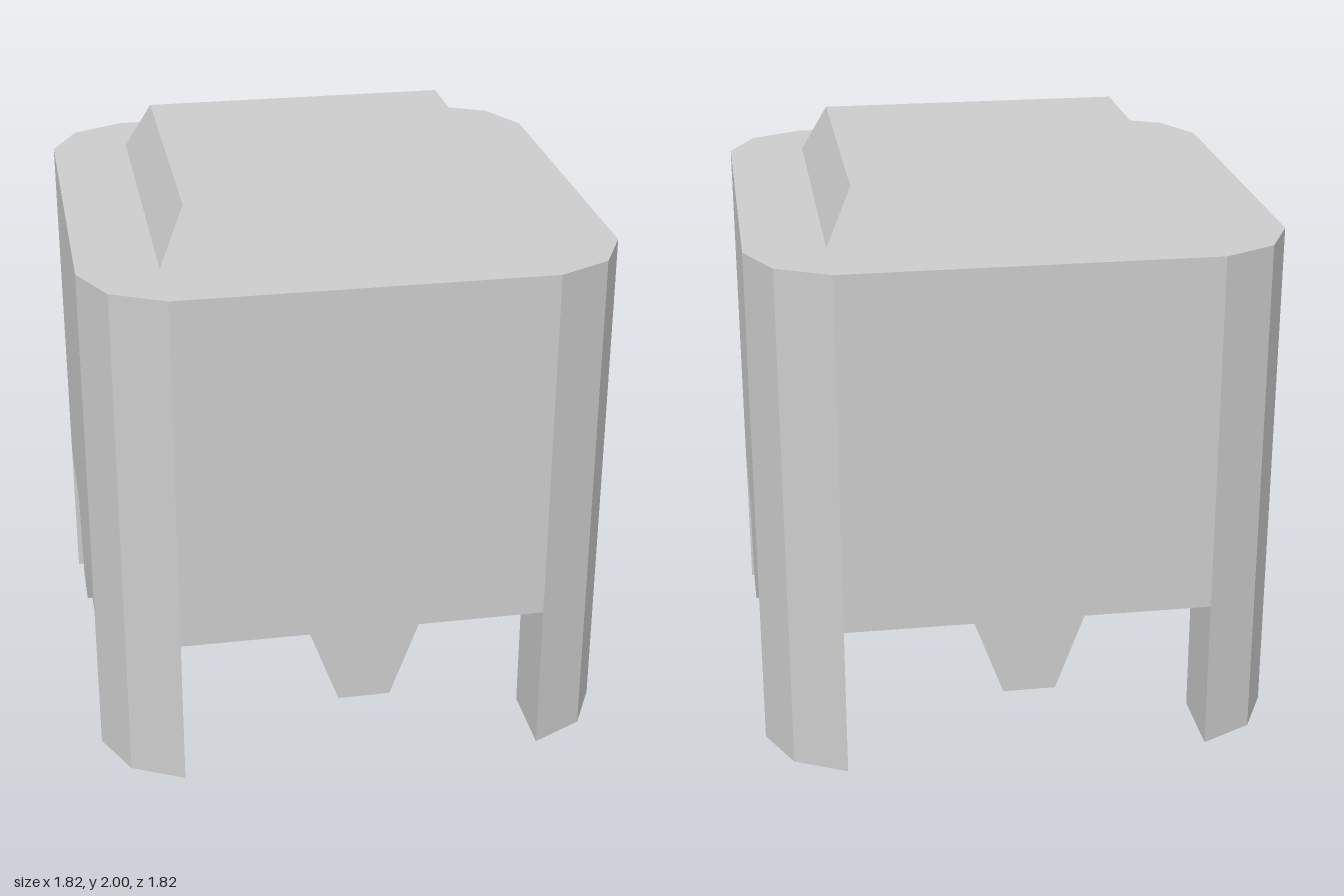
import * as THREE from 'three';

const U = 2 / 11;                       // base module
const OUT = 5 * U, MID = 4.5 * U, IN = 3.5 * U;
const SKIRT = 3 * U, SHOULDER = 10 * U, TOOTH_LOW = 1.5 * U;

const polygon = pts => new THREE.Shape(pts.map(([x, y]) => new THREE.Vector2(x, y)));

// Straight extrusion of a plan outline, from height y0 to y1
function prism(shape, y0, y1) {
  const geo = new THREE.ExtrudeGeometry(shape, { depth: y1 - y0, bevelEnabled: false });
  return geo.rotateX(-Math.PI / 2).translate(0, y0, 0);
}

export function createModel() {
  const group = new THREE.Group();
  const material = new THREE.MeshStandardMaterial({ color: 0xcccccc, flatShading: true });
  const add = (name, geo) => {
    const mesh = new THREE.Mesh(geo, material);
    mesh.name = name;
    group.add(mesh);
    return mesh;
  };

  // Hollow body: square with twice-chamfered corners and a square cavity
  const corner = [[OUT, IN], [MID, MID], [IN, OUT]];
  const outline = [];
  for (let i = 0; i < 4; i++) {
    const c = Math.round(Math.cos(i * Math.PI / 2)), s = Math.round(Math.sin(i * Math.PI / 2));
    for (const [x, y] of corner) outline.push([x * c - y * s, x * s + y * c]);
  }
  const ring = polygon(outline);
  ring.holes.push(polygon([[-IN, -IN], [-IN, IN], [IN, IN], [IN, -IN]]));
  add('body', prism(ring, SKIRT, SHOULDER));

  // Bevelled lid, closing the cavity from above
  const lid = new THREE.CylinderGeometry(3 * U * Math.SQRT2, IN * Math.SQRT2, U, 4);
  add('lid', lid.rotateY(Math.PI / 4).translate(0, SHOULDER + U / 2, 0));

  // Corner legs and the tapered tooth hanging from the middle of each side
  const legGeo = prism(polygon([[IN, IN], ...corner]), 0, SKIRT);
  const toothGeo = new THREE.ExtrudeGeometry(
    polygon([[-0.5 * U, TOOTH_LOW], [0.5 * U, TOOTH_LOW], [1.05 * U, SKIRT], [-1.05 * U, SKIRT]]),
    { depth: OUT - IN, bevelEnabled: false }
  ).translate(0, 0, IN);
  for (let i = 0; i < 4; i++) {
    add('leg', legGeo).rotation.y = i * Math.PI / 2;
    add('tooth', toothGeo).rotation.y = i * Math.PI / 2;
  }

  return group;
}
